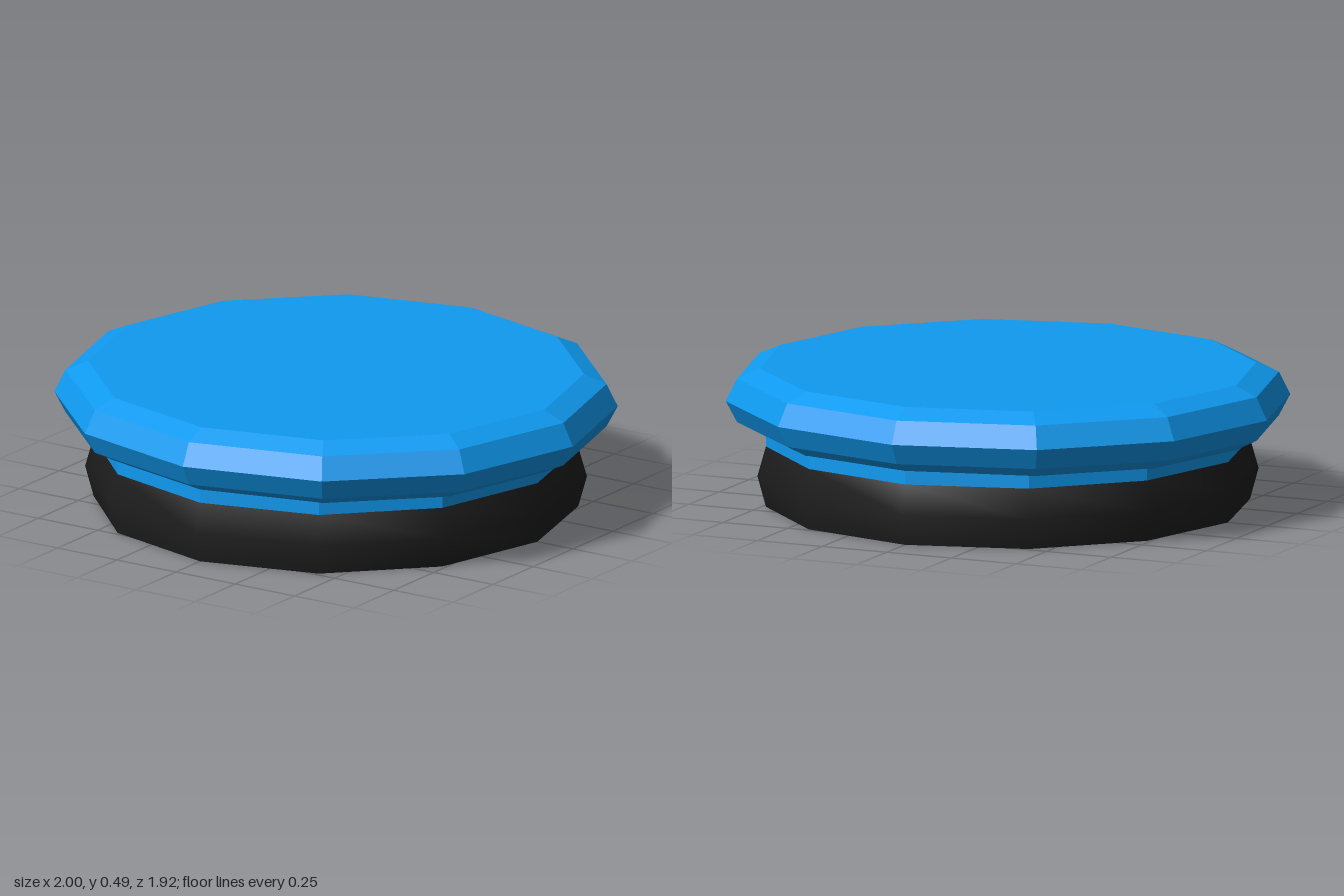
import * as THREE from 'three';

const SIDES = 12;

// Twelve-sided turned part from [radius, y] pairs, listed bottom to top
function turned(name, profile, color, flatShading) {
  const points = profile.map(([r, y]) => new THREE.Vector2(r, y));
  const material = new THREE.MeshStandardMaterial({ color, flatShading });
  const mesh = new THREE.Mesh(new THREE.LatheGeometry(points, SIDES), material);
  mesh.name = name;
  return mesh;
}

export function createModel() {
  const group = new THREE.Group();
  group.name = 'roundButton';

  // Dark red underside
  const underside = turned('underside', [[0, 0], [0.85, 0]], 0x400606, true);

  // Black base with a slight bulge, shaded smoothly
  const base = turned('base', [[0.85, 0], [0.88, 0.11], [0.85, 0.215]], 0x1e1e1e, false);

  // Ledge and short blue neck between base and cap
  const neck = turned('neck', [[0.85, 0.215], [0.85, 0.27]], 0x0f9af0, true);

  // Rounded cap with a flat top, slightly narrower front to back
  const cap = turned('cap', [
    [0, 0.26], [0.88, 0.26], [0.96, 0.3], [1, 0.375],
    [0.96, 0.455], [0.88, 0.49], [0, 0.49],
  ], 0x0f9af0, true);
  cap.scale.z = 0.958;

  group.add(underside, base, neck, cap);
  return group;
}
